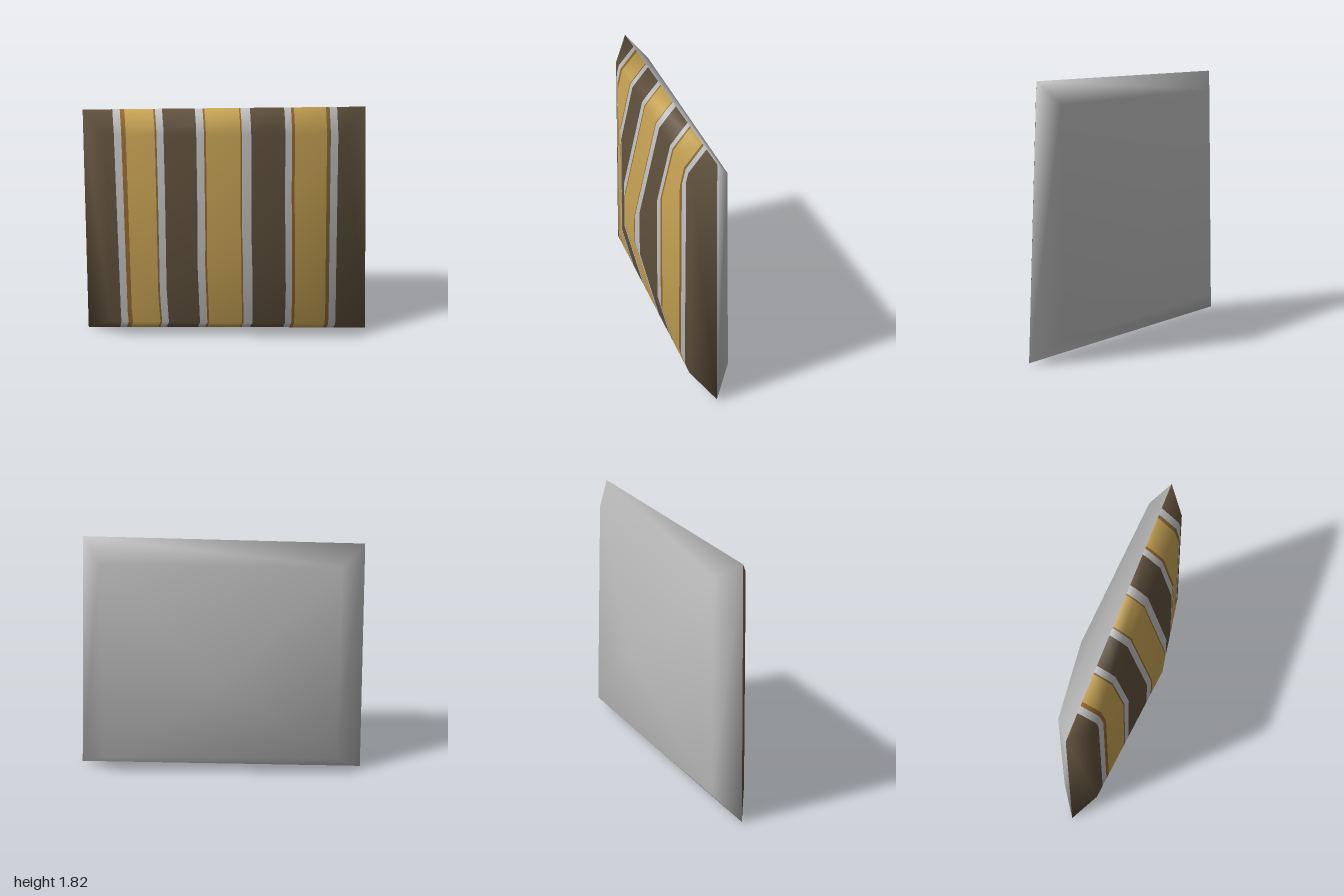
import * as THREE from 'three';

const paint = (name, color) => {
  const m = new THREE.MeshStandardMaterial({ color });
  m.name = name;
  return m;
};

// Corners run bottom left, bottom right, top right, top left as seen from the front.
// Each point is x, y, z, and u, the position across the striped cloth.
const seam = [[-1, 0, 0, -0.965], [1, 0.015, 0, 0.995], [0.9, 1.815, 0, 0.96], [-0.94, 1.78, 0, -0.94]];
const frontRing = [[-0.82, 0.145, 0.125, -0.815], [0.83, 0.145, 0.135, 0.83], [0.78, 1.67, 0.12, 0.827], [-0.79, 1.66, 0.115, -0.8]];
const backRing = [[-0.82, 0.15, -0.125, 0], [0.83, 0.15, -0.14, 0], [0.79, 1.665, -0.11, 0], [-0.79, 1.66, -0.115, 0]];
const points = [...seam, ...frontRing, [0, 0.86, 0.3, 0.01], ...backRing, [0, 0.86, -0.3, 0]];

// Sloping border and shallow pyramid of one side
function sideFaces(ring, apex, flip) {
  const faces = [];
  for (let i = 0; i < 4; i++) {
    const j = (i + 1) % 4;
    faces.push([i, j, ring + j], [i, ring + j, ring + i], [ring + i, ring + j, apex]);
  }
  return flip ? faces.map(([a, b, c]) => [a, c, b]) : faces;
}

// Keep the part of a polygon where sign * (u - limit) >= 0
function clip(poly, limit, sign) {
  const out = [];
  poly.forEach((a, i) => {
    const b = poly[(i + 1) % poly.length];
    const da = sign * (a[6] - limit), db = sign * (b[6] - limit);
    if (da >= 0) out.push(a);
    if (da * db < 0) {
      const t = da / (da - db);
      out.push(a.map((v, k) => v + (b[k] - v) * t));
    }
  });
  return out;
}

function polygonMesh(polys, material, name) {
  const pos = [], nor = [];
  for (const p of polys) {
    for (let i = 1; i < p.length - 1; i++) {
      for (const v of [p[0], p[i], p[i + 1]]) {
        pos.push(v[0], v[1], v[2]);
        nor.push(v[3], v[4], v[5]);
      }
    }
  }
  const g = new THREE.BufferGeometry();
  g.setAttribute('position', new THREE.Float32BufferAttribute(pos, 3));
  g.setAttribute('normal', new THREE.Float32BufferAttribute(nor, 3));
  const mesh = new THREE.Mesh(g, material);
  mesh.name = name;
  return mesh;
}

export function createModel() {
  const brown = paint('dark brown', 0x5f503c);
  const grey = paint('light grey', 0xc0c0c0);
  const gold = paint('gold', 0xc6a253);
  const orange = paint('orange brown', 0x94682c);
  const olive = paint('olive brown', 0x86693a);

  const front = sideFaces(4, 8, false);
  const back = sideFaces(9, 13, true);

  // Smooth normals shared across the whole cushion
  const shell = new THREE.BufferGeometry();
  shell.setAttribute('position', new THREE.Float32BufferAttribute(points.flatMap((p) => p.slice(0, 3)), 3));
  shell.setIndex([...front, ...back].flat());
  shell.computeVertexNormals();
  const n = shell.attributes.normal;
  const verts = points.map((p, i) => [p[0], p[1], p[2], n.getX(i), n.getY(i), n.getZ(i), p[3]]);
  const toPoly = (face) => face.map((i) => verts[i]);

  const cushion = new THREE.Group();
  cushion.name = 'cushion';

  // Plain back
  cushion.add(polygonMesh(back.map(toPoly), grey, 'backCover'));

  // Striped front: where each stripe starts, and its colour
  const stripes = [
    [-2, brown], [-0.74, grey], [-0.69, orange], [-0.66, gold], [-0.465, olive], [-0.453, grey],
    [-0.405, brown], [-0.185, grey], [-0.133, orange], [-0.12, gold], [0.112, orange], [0.122, grey],
    [0.185, brown], [0.415, grey], [0.46, orange], [0.48, gold], [0.695, olive], [0.72, grey],
    [0.77, brown], [2, null],
  ];
  for (let s = 0; s < stripes.length - 1; s++) {
    const [start, material] = stripes[s];
    const end = stripes[s + 1][0];
    const polys = front
      .map((f) => clip(clip(toPoly(f), start, 1), end, -1))
      .filter((p) => p.length > 2);
    cushion.add(polygonMesh(polys, material, `frontStripe${s + 1}`));
  }
  return cushion;
}
